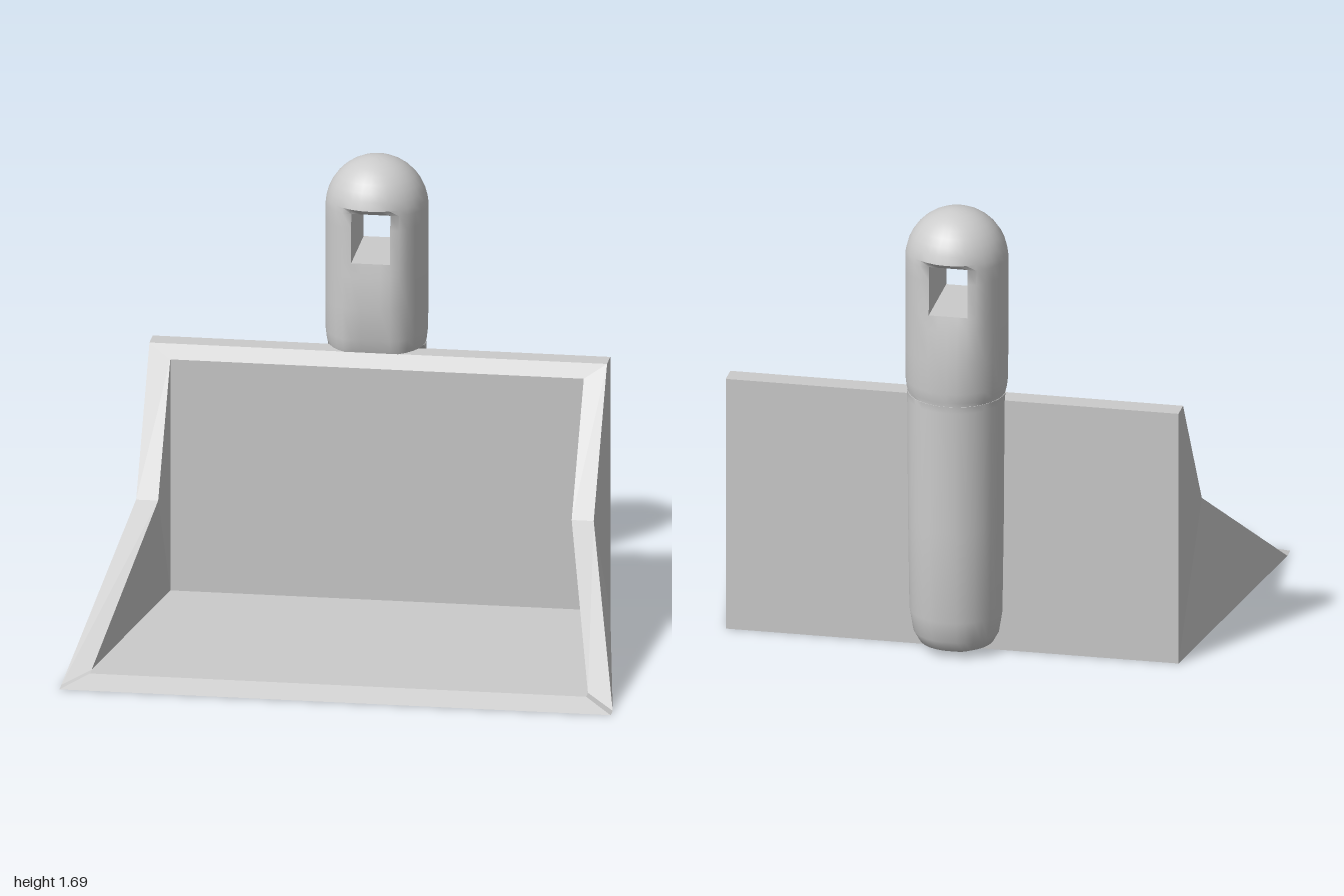
import * as THREE from 'three';
import { toCreasedNormals } from 'three/addons/utils/BufferGeometryUtils.js';

const material = () => new THREE.MeshStandardMaterial({ color: 0xcccccc });

// Flared scoop: corner points of the +x half, mirrored for the other half
function makePan() {
  const A = [0.83, 0, -0.49], B = [0.83, 0.965, -0.49], C = [0.83, 0.965, -0.41];
  const D = [0.83, 0.48, -0.08], E = [1, 0, 0.61], G = [1, 0, 0.66];
  const a = [0.75, 0.04, -0.38], b = [0.75, 0.915, -0.38], d = [0.75, 0.48, -0.08];
  const e = [0.9, 0.04, 0.54], g = [0.9, 0.04, 0.585];

  const positions = [];
  const mirror = ([x, y, z]) => [-x, y, z];
  const face = (pts) => {
    for (let i = 1; i < pts.length - 1; i++) positions.push(...pts[0], ...pts[i], ...pts[i + 1]);
  };
  const bothSides = (...pts) => { face(pts); face(pts.map(mirror).reverse()); };
  const span = (p, q) => face([mirror(p), p, q, mirror(q)]);

  // outer sides
  bothSides(A, B, C, D);
  bothSides(A, D, E);
  // sloping rims and lip corners
  bothSides(d, D, C, b);
  bothSides(e, E, D, d);
  bothSides(g, G, E, e);
  // inner sides
  bothSides(a, e, d);
  bothSides(a, d, b);
  // back wall, floor, lip, top rim and underside
  [[a, b], [e, a], [g, e], [G, g], [b, C], [C, B], [B, A], [A, E], [E, G]].forEach(([p, q]) => span(p, q));

  const geometry = new THREE.BufferGeometry();
  geometry.setAttribute('position', new THREE.Float32BufferAttribute(positions, 3));
  geometry.computeVertexNormals();
  const mesh = new THREE.Mesh(geometry, material());
  mesh.name = 'pan';
  return mesh;
}

// Round grip lofted from rings; only its back half runs down behind the pan
function makeHandle() {
  const SEG = 32, HALF = 2, cx = -0.015, cz = -0.48;
  const rings = []; // height, radius, front limit of z, back limit of z
  for (let i = 0; i <= 8; i++) {
    const t = (i * Math.PI) / 18;
    rings.push([1.505 + 0.185 * Math.cos(t), 0.185 * Math.sin(t), 0, -1]);
  }
  const holeTop = rings.length, holeBottom = holeTop + 2;
  rings.push(
    [1.515, 0.185, -0.33, -0.63],
    [1.46, 0.185, -0.325, -0.632],
    [1.33, 0.185, -0.325, -0.634],
    [1.28, 0.185, -0.318, -0.645],
    [1.16, 0.185, -0.307, -0.66],
    [1.04, 0.184, -0.322, -0.66],
    [1.005, 0.18, -0.33, -0.658],
    [0.99, 0.176, -0.335, -0.657],
    [0.99, 0.178, -0.45, -0.657],
    [0.965, 0.178, -0.485, -0.656],
    [0.5, 0.175, -0.485, -0.653],
    [0.15, 0.17, -0.485, -0.648],
    [0.07, 0.157, -0.485, -0.632],
    [0.03, 0.135, -0.485, -0.61],
    [0.01, 0.09, -0.485, -0.565]
  );

  const positions = [], index = [];
  for (const [y, r, front, back] of rings) {
    for (let j = 0; j < SEG; j++) {
      const t = (j / SEG) * Math.PI * 2;
      const z = THREE.MathUtils.clamp(cz + r * Math.cos(t), back, front);
      positions.push(cx + r * Math.sin(t), y, z);
    }
  }
  const id = (i, j) => i * SEG + ((j + SEG) % SEG);
  const quad = (p, q, r, s) => index.push(p, q, r, p, r, s);

  // skin, leaving the hanging hole open front and back
  for (let i = 0; i < rings.length - 1; i++) {
    for (let j = 0; j < SEG; j++) {
      const nearFront = j < HALF || j >= SEG - HALF;
      const nearBack = j >= SEG / 2 - HALF && j < SEG / 2 + HALF;
      if (i >= holeTop && i < holeBottom && (nearFront || nearBack)) continue;
      quad(id(i, j), id(i + 1, j), id(i + 1, j + 1), id(i, j + 1));
    }
  }

  // bottom cap
  const last = rings.length - 1;
  positions.push(cx, 0.008, -0.52);
  for (let j = 0; j < SEG; j++) index.push(id(last, j), rings.length * SEG, id(last, j + 1));

  // walls of the hanging hole
  const loop = [];
  for (let k = -HALF; k < HALF; k++) loop.push([holeTop, k]);
  for (let i = holeTop; i < holeBottom; i++) loop.push([i, HALF]);
  for (let k = HALF; k > -HALF; k--) loop.push([holeBottom, k]);
  for (let i = holeBottom; i > holeTop; i--) loop.push([i, -HALF]);
  loop.forEach(([i, k], n) => {
    const [i2, k2] = loop[(n + 1) % loop.length];
    quad(id(i, k), id(i, SEG / 2 - k), id(i2, SEG / 2 - k2), id(i2, k2));
  });

  const geometry = new THREE.BufferGeometry();
  geometry.setAttribute('position', new THREE.Float32BufferAttribute(positions, 3));
  geometry.setIndex(index);
  const mesh = new THREE.Mesh(toCreasedNormals(geometry, 0.8), material());
  mesh.name = 'handle';
  return mesh;
}

export function createModel() {
  const group = new THREE.Group();
  group.name = 'dustpan';
  group.add(makePan(), makeHandle());
  return group;
}
